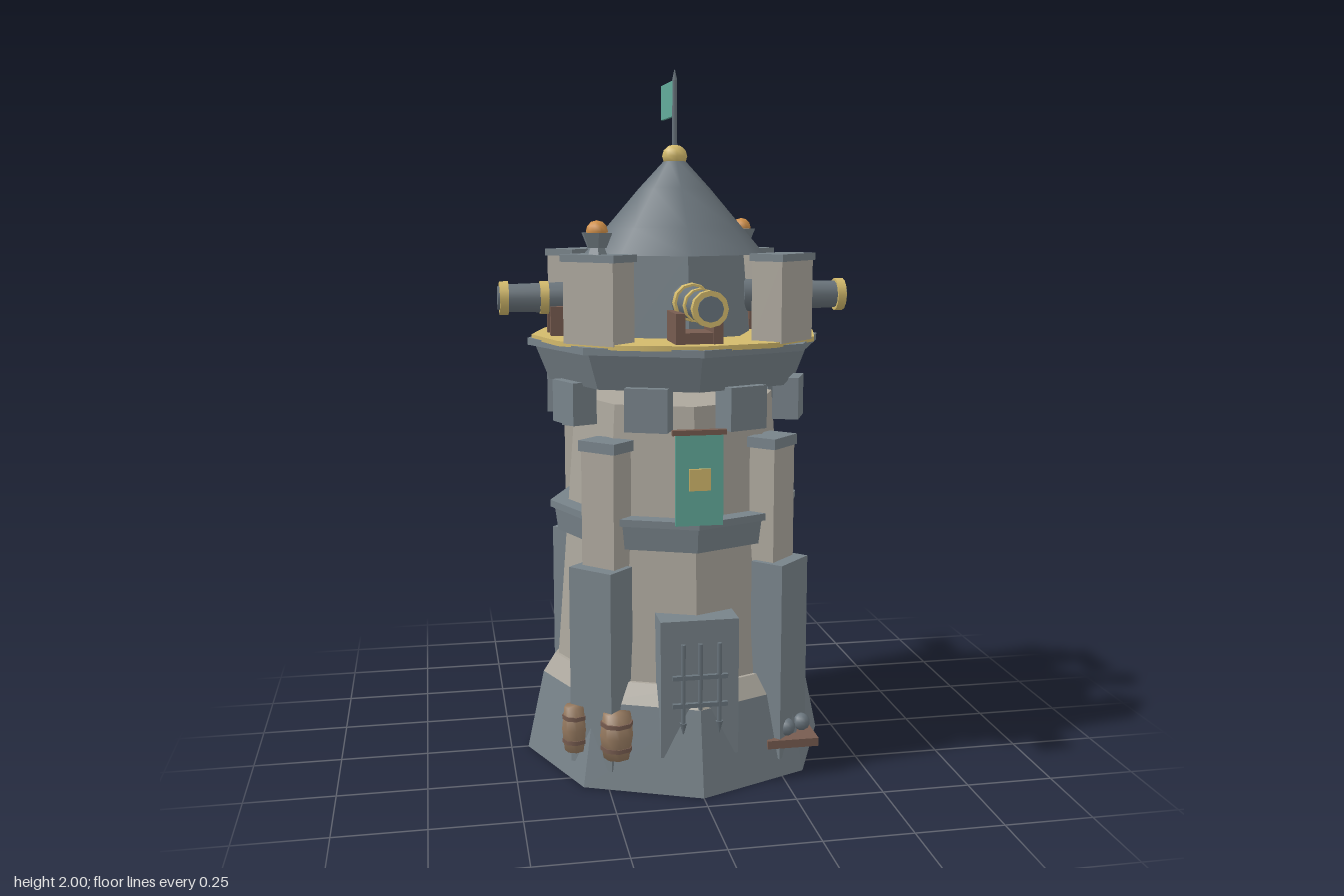
import * as THREE from 'three';

const mat = (name, color, extra = {}) => {
  const m = new THREE.MeshStandardMaterial({ color, ...extra });
  m.name = name;
  return m;
};

export function createModel() {
  const slate = mat('slate', 0x78838a, { flatShading: true });
  const darkSlate = mat('dark slate', 0x6a747b);
  const stone = mat('stone', 0xaca79d, { flatShading: true });
  const gold = mat('gold', 0xd3ba6c);
  const teal = mat('teal cloth', 0x62ab9b);
  const timber = mat('dark timber', 0x775c50);
  const wood = mat('barrel wood', 0x967a60);
  const ember = mat('ember', 0xd2914a);
  const iron = mat('iron', 0x69747c);

  const model = new THREE.Group();
  model.name = 'cannonTower';

  const add = (parent, name, geo, m, x = 0, y = 0, z = 0) => {
    const mesh = new THREE.Mesh(geo, m);
    mesh.name = name;
    mesh.position.set(x, y, z);
    parent.add(mesh);
    return mesh;
  };
  const box = (parent, name, m, w, h, d, x, y, z) =>
    add(parent, name, new THREE.BoxGeometry(w, h, d), m, x, y, z);
  // Upright prism between two heights
  const prism = (parent, name, m, r0, r1, y0, y1, sides = 8, x = 0, z = 0) =>
    add(parent, name, new THREE.CylinderGeometry(r1, r0, y1 - y0, sides), m, x, (y0 + y1) / 2, z);
  const group = (name, angle = 0) => {
    const g = new THREE.Group();
    g.name = name;
    g.rotation.y = angle;
    model.add(g);
    return g;
  };

  // Octagonal tower body
  prism(model, 'base', slate, 0.45, 0.4, 0, 0.235);
  prism(model, 'plinthTrim', stone, 0.4, 0.365, 0.235, 0.29);
  prism(model, 'wall', stone, 0.355, 0.295, 0.28, 1.07);
  prism(model, 'bandLower', slate, 0.35, 0.36, 0.67, 0.74);
  prism(model, 'bandUpper', slate, 0.373, 0.373, 0.74, 0.76);

  // Gun deck
  prism(model, 'deckFlare', slate, 0.37, 0.41, 1.12, 1.22);
  prism(model, 'deckRim', slate, 0.432, 0.432, 1.22, 1.24);
  prism(model, 'deckFloor', gold, 0.42, 0.42, 1.236, 1.25, 12);
  for (let i = 0; i < 8; i++) {
    const g = group('corbel', (i + 0.5) * Math.PI / 4);
    box(g, 'corbelBlock', slate, 0.12, 0.12, 0.075, 0, 1.07, 0.337);
  }

  // Corner buttresses and merlons
  for (let i = 0; i < 4; i++) {
    const g = group('corner', (i + 0.5) * Math.PI / 2);
    box(g, 'lowerButtress', slate, 0.145, 0.57, 0.1, 0, 0.335, 0.365);
    box(g, 'upperButtress', stone, 0.112, 0.4, 0.08, 0, 0.76, 0.336);
    box(g, 'buttressCap', slate, 0.125, 0.03, 0.09, 0, 0.96, 0.336);
    box(g, 'merlon', stone, 0.17, 0.23, 0.095, 0, 1.36, 0.363);
    box(g, 'merlonCap', slate, 0.182, 0.02, 0.105, 0, 1.477, 0.363);
  }

  // Braziers on two opposite merlons
  for (const s of [-1, 1]) {
    prism(model, 'brazierFoot', slate, 0.03, 0.022, 1.485, 1.505, 6, s * 0.26, -s * 0.26);
    prism(model, 'brazierBowl', slate, 0.028, 0.045, 1.505, 1.545, 6, s * 0.26, -s * 0.26);
    add(model, 'brazierFlame', new THREE.SphereGeometry(0.03, 10, 6), ember, s * 0.26, 1.548, -s * 0.26);
  }

  // Turret, roof, finial and flag
  prism(model, 'turret', slate, 0.225, 0.205, 1.25, 1.485);
  const roofProfile = [[0, 1.475], [0.265, 1.475], [0.265, 1.48], [0.2, 1.555], [0.105, 1.665], [0.03, 1.745]]
    .map(p => new THREE.Vector2(...p));
  add(model, 'roofEaveUnderside', new THREE.LatheGeometry(roofProfile.slice(0, 2), 8), darkSlate);
  add(model, 'roof', new THREE.LatheGeometry(roofProfile.slice(2), 8), darkSlate);
  const finial = add(model, 'finial', new THREE.SphereGeometry(0.037, 8, 6), gold, 0, 1.757, 0);
  finial.scale.y = 0.9;
  prism(model, 'flagPole', iron, 0.008, 0.007, 1.77, 1.97, 6);
  prism(model, 'poleTip', iron, 0.008, 0.001, 1.97, 2, 6);
  box(model, 'flag', teal, 0.01, 0.1, 0.2, 0, 1.92, -0.102);

  // Four cannons pointing outward
  for (let i = 0; i < 4; i++) {
    const g = group('cannon', i * Math.PI / 2);
    const ring = (name, m, r0, r1, z0, z1) => {
      const geo = new THREE.CylinderGeometry(r1, r0, z1 - z0, 12).rotateX(Math.PI / 2);
      add(g, name, geo, m, 0, 1.355, (z0 + z1) / 2);
    };
    ring('barrel', darkSlate, 0.048, 0.039, 0.2, 0.505);
    ring('breechRing', gold, 0.054, 0.052, 0.255, 0.28);
    ring('middleRing', gold, 0.047, 0.047, 0.37, 0.395);
    ring('muzzleRing', gold, 0.048, 0.048, 0.485, 0.51);
    ring('bore', iron, 0.034, 0.034, 0.5, 0.515);
    for (const s of [-1, 1]) box(g, 'carriageSide', timber, 0.026, 0.085, 0.135, s * 0.052, 1.29, 0.302);
    box(g, 'carriageBed', timber, 0.09, 0.03, 0.12, 0, 1.265, 0.302);
  }

  // Gate with iron bars
  box(model, 'gateSlab', slate, 0.22, 0.39, 0.1, 0, 0.295, 0.337);
  for (const x of [-0.048, 0, 0.054]) {
    prism(model, 'gateBar', iron, 0.007, 0.007, 0.2, 0.425, 6, x, 0.393);
    prism(model, 'gateSpike', iron, 0.001, 0.011, 0.165, 0.2, 6, x, 0.393);
  }
  for (const y of [0.25, 0.33]) box(model, 'gateCrossBar', iron, 0.155, 0.012, 0.012, 0, y, 0.393);

  // Hanging banner
  box(model, 'banner', teal, 0.132, 0.255, 0.01, 0, 0.882, 0.37);
  box(model, 'bannerRod', timber, 0.15, 0.014, 0.02, 0, 1.012, 0.368);
  box(model, 'bannerEmblem', gold, 0.06, 0.06, 0.008, 0, 0.883, 0.379);

  // Barrels by the gate
  for (const [x, z, r] of [[-0.335, 0.26, 0.037], [-0.225, 0.332, 0.048]]) {
    const profile = [[0, 0.09], [r * 0.8, 0.09], [r, 0.155], [r * 0.8, 0.22], [0, 0.22]]
      .map(p => new THREE.Vector2(...p));
    add(model, 'barrelStaves', new THREE.LatheGeometry(profile, 8), wood, x, 0, z);
    for (const y of [0.12, 0.19]) prism(model, 'barrelHoop', timber, r * 0.97, r * 0.97, y - 0.006, y + 0.006, 8, x, z);
  }

  // Cannonballs on a wooden pallet
  box(model, 'pallet', timber, 0.15, 0.024, 0.155, 0.28, 0.098, 0.275);
  for (const [x, z] of [[0.27, 0.315], [0.322, 0.285], [0.315, 0.24]])
    add(model, 'cannonball', new THREE.SphereGeometry(0.025, 10, 7), iron, x, 0.135, z);

  // Tilted plank shelf with rubble at the back
  const shelf = group('backShelf');
  shelf.position.set(-0.02, 0.55, -0.37);
  shelf.rotation.x = -0.55;
  for (let i = -1; i <= 1; i++) box(shelf, 'plank', wood, 0.14 - 0.01 * i, 0.035, 0.025, 0.006 * i, 0, i * 0.027);
  add(shelf, 'rubble', new THREE.DodecahedronGeometry(0.038), stone, 0, 0.04, 0.015);

  return model;
}
